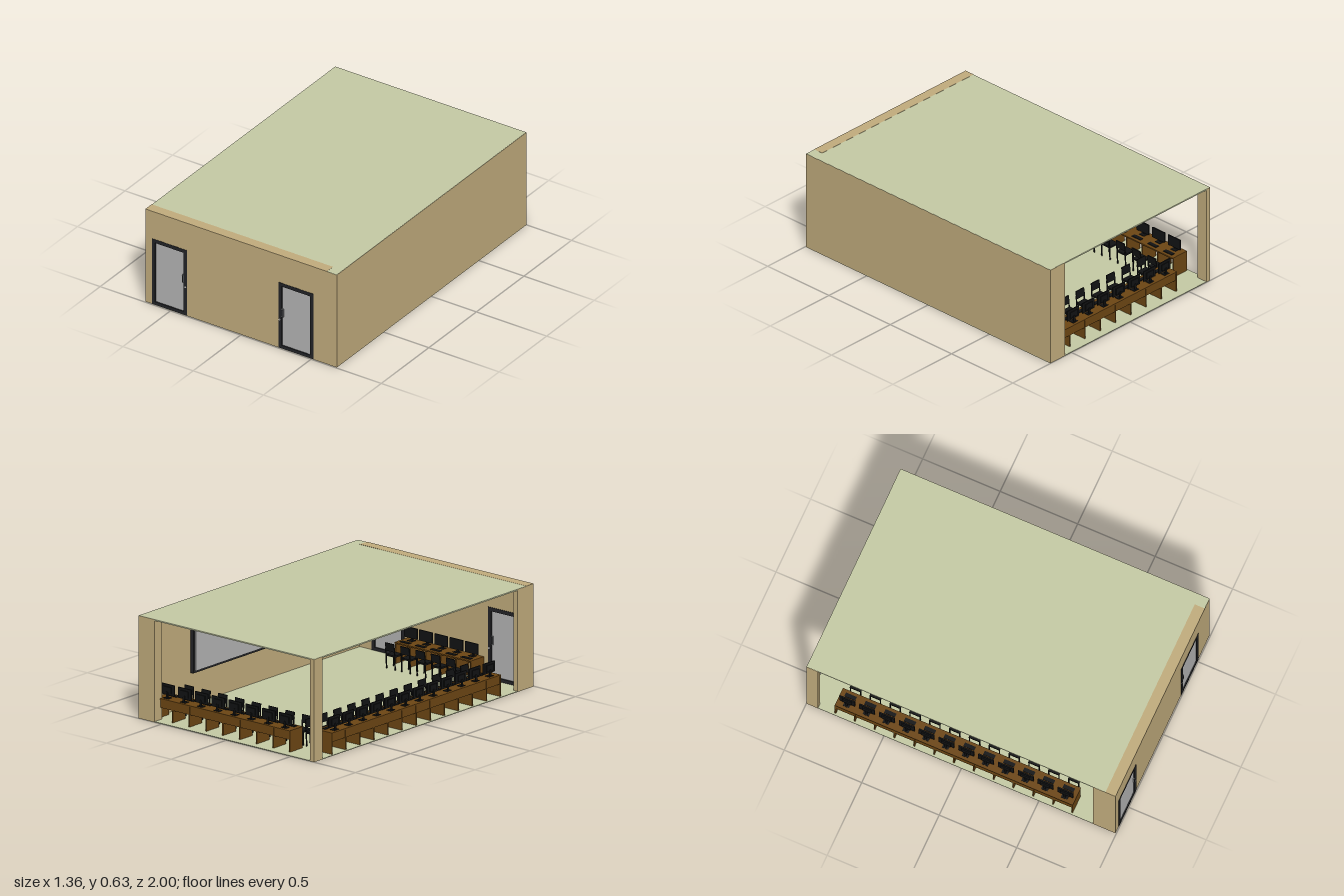
import * as THREE from 'three';

const mat = (color) => new THREE.MeshStandardMaterial({ color });
const WALL = mat(0xbfaa7b), SLAB = mat(0xc3c8a3), WOOD = mat(0x6b4513), BLACK = mat(0x111213);
const FRAME = mat(0x222326), GLASS = mat(0xb2b2b2), METAL = mat(0x77797c), WHITE = mat(0xd8dcdc);
const FLOOR = 0.01;

// Box given by its minimum and maximum corners
function box(parent, name, material, x0, x1, y0, y1, z0, z1) {
  const m = new THREE.Mesh(new THREE.BoxGeometry(x1 - x0, y1 - y0, z1 - z0), material);
  m.position.set((x0 + x1) / 2, (y0 + y1) / 2, (z0 + z1) / 2);
  m.name = name;
  parent.add(m);
  return m;
}

function group(parent, name, x = 0, y = 0, z = 0, turn = 0) {
  const g = new THREE.Group();
  g.name = name;
  g.position.set(x, y, z);
  g.rotation.y = turn;
  parent.add(g);
  return g;
}

function rect(x0, x1, y0, y1, Type = THREE.Shape) {
  const s = new Type();
  s.moveTo(x0, y0);
  s.lineTo(x1, y0);
  s.lineTo(x1, y1);
  s.lineTo(x0, y1);
  s.closePath();
  return s;
}

// Door centred on x; side is the direction of the handle
function door(parent, x, side) {
  const g = group(parent, 'door', x, FLOOR, 0);
  const outline = rect(-0.125, 0.125, 0, 0.445);
  outline.holes.push(rect(-0.101, 0.101, 0.02, 0.422, THREE.Path));
  const frame = new THREE.Mesh(
    new THREE.ExtrudeGeometry(outline, { depth: 0.071, bevelEnabled: false }), FRAME);
  frame.position.z = 0.926;
  frame.name = 'doorFrame';
  g.add(frame);
  box(g, 'doorPanel', GLASS, -0.101, 0.101, 0.02, 0.422, 0.935, 0.99);
  const hx = side * 0.096;
  box(g, 'handlePlate', METAL, hx - 0.006, hx + 0.006, 0.215, 0.27, 0.93, 0.998);
  box(g, 'handleBar', FRAME, hx - 0.003, hx + 0.003, 0.222, 0.263, 0.926, 1);
  const lock = new THREE.Mesh(new THREE.CylinderGeometry(0.006, 0.006, 0.076, 12), WHITE);
  lock.rotation.x = Math.PI / 2;
  lock.position.set(side * 0.115, 0.192, 0.962);
  lock.name = 'lock';
  g.add(lock);
}

// Chair facing -z, standing on its own origin
function chair(parent, x, z) {
  const g = group(parent, 'chair', x, 0, z);
  box(g, 'seat', BLACK, -0.036, 0.036, 0.078, 0.088, -0.036, 0.036);
  const back = box(g, 'backrest', BLACK, -0.034, 0.034, 0.112, 0.162, 0.036, 0.043);
  back.rotation.x = 0.12;
  for (const s of [-1, 1]) {
    box(g, 'frontLeg', BLACK, s * 0.033 - 0.003, s * 0.033 + 0.003, 0, 0.08, -0.034, -0.028);
    const rear = box(g, 'rearLeg', BLACK, s * 0.033 - 0.003, s * 0.033 + 0.003, 0, 0.13, 0.032, 0.038);
    rear.rotation.x = 0.06;
  }
}

// Screen, stand and keyboard; the screen faces +z
function computer(parent, x, y) {
  const g = group(parent, 'computer', x, y, 0.04);
  box(g, 'screen', BLACK, -0.05, 0.05, 0.018, 0.084, -0.004, 0.004);
  box(g, 'screenBack', BLACK, -0.03, 0.03, 0.03, 0.07, -0.01, -0.004);
  box(g, 'stand', BLACK, -0.007, 0.007, 0, 0.04, -0.014, -0.008);
  box(g, 'standBase', BLACK, -0.02, 0.02, 0, 0.003, -0.022, 0.012);
  box(g, 'keyboard', BLACK, -0.035, 0.035, 0, 0.004, 0.035, 0.06);
}

// Row of desks along local x, backs at local z = 0, users at +z
function deskRow(parent, name, count, pitch, x, z, turn) {
  const row = group(parent, name, x, FLOOR, z, turn);
  const half = count * pitch / 2, depth = 0.12, h = 0.132;
  box(row, 'deskTop', WOOD, -half, half, h - 0.008, h, 0, depth);
  box(row, 'backPanel', WOOD, -half, half, 0.075, h - 0.008, 0.003, 0.01);
  for (let i = 0; i <= count; i++) {
    const px = Math.min(Math.max(-half + i * pitch, -half + 0.004), half - 0.004);
    box(row, 'partition', WOOD, px - 0.004, px + 0.004, 0, h - 0.008, 0.001, depth - 0.005);
  }
  for (let i = 0; i < count; i++) {
    const cx = -half + (i + 0.5) * pitch;
    computer(row, cx, h);
    chair(row, cx, depth + 0.07);
  }
}

// Recessed ceiling lamp with a louvre grid, long along z
function ceilingLight(parent, x, z) {
  const g = group(parent, 'ceilingLight', x, 0.632, z);
  const w = 0.06, l = 0.2, t = 0.012;
  for (const s of [-1, 1]) {
    box(g, 'lampSide', WHITE, s * w - 0.006, s * w + 0.006, -t, 0, -l, l);
    box(g, 'lampEnd', WHITE, -w, w, -t, 0, s * l - 0.006, s * l + 0.006);
  }
  box(g, 'lampTray', METAL, -w, w, -0.002, 0, -l, l);
  for (const bx of [-0.02, 0.02]) box(g, 'lampRib', WHITE, bx - 0.003, bx + 0.003, -t, -0.002, -l, l);
  for (let i = 1; i < 14; i++) {
    const bz = -l + i * l / 7;
    box(g, 'louvre', WHITE, -w, w, -t + 0.002, -0.002, bz - 0.002, bz + 0.002);
  }
}

export function createModel() {
  const room = new THREE.Group();
  room.name = 'computerClassroom';

  // Shell: slabs, walls and corner columns
  box(room, 'floor', SLAB, -0.68, 0.68, 0.006, FLOOR, -0.999, 0.994);
  box(room, 'roof', SLAB, -0.68, 0.679, 0.632, 0.64, -0.999, 0.994);
  box(room, 'leftWall', WALL, 0.61, 0.68, 0.008, 0.639, -1, 0.995);
  box(room, 'backColumn', WALL, 0.555, 0.611, 0.008, 0.639, -1, -0.93);
  box(room, 'backPost', WALL, -0.681, -0.65, 0.008, 0.639, -1, -0.925);
  box(room, 'frontPost', WALL, -0.681, -0.65, 0.008, 0.639, 0.85, 0.94);

  // Front wall with two door openings
  const front = rect(-0.681, 0.61, 0.008, 0.641);
  for (const x of [-0.51, 0.39]) {
    front.holes.push(rect(x - 0.124, x + 0.124, 0.0095, 0.453, THREE.Path));
    door(room, x, x < 0 ? 1 : -1);
  }
  const wall = new THREE.Mesh(
    new THREE.ExtrudeGeometry(front, { depth: 0.065, bevelEnabled: false }), WALL);
  wall.position.z = 0.93;
  wall.name = 'frontWall';
  room.add(wall);

  // Framed board on the left wall
  box(room, 'boardFrame', FRAME, 0.585, 0.61, 0.21, 0.5, -0.61, 0.35);
  box(room, 'board', GLASS, 0.58, 0.59, 0.225, 0.485, -0.595, 0.335);

  // Desk rows around the room
  deskRow(room, 'backDesks', 8, 0.13, 0.07, -0.95, 0);
  deskRow(room, 'sideDesks', 12, 0.128, -0.668, -0.055, Math.PI / 2);
  deskRow(room, 'frontDesks', 5, 0.118, -0.06, 0.925, Math.PI);

  // Ceiling lamps in two lines
  for (const x of [-0.31, 0.24]) for (const z of [-0.65, 0, 0.6]) ceilingLight(room, x, z);
  return room;
}
